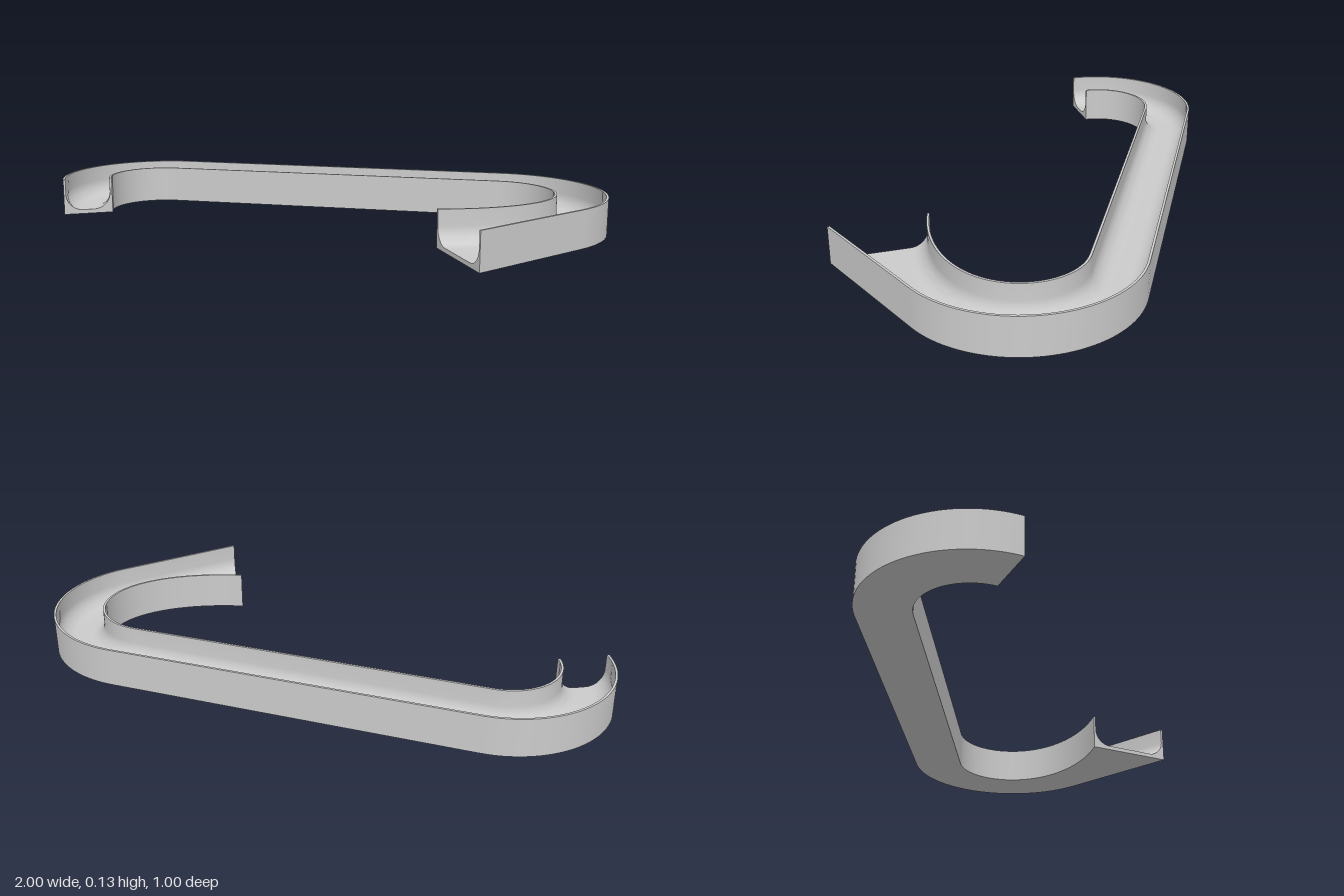
import * as THREE from 'three';
import { toCreasedNormals } from 'three/addons/utils/BufferGeometryUtils.js';

const HEIGHT = 0.13, WALL = 0.008, FLOOR = 0.015, FILLET = 0.06;
const rad = THREE.MathUtils.degToRad;
const v2 = (x, z) => new THREE.Vector2(x, z);

// U-shaped channel section of width w: flat bottom, thin walls, rounded inner corners
function section(w) {
  const pts = [v2(0, 0), v2(w, 0), v2(w, HEIGHT)];
  const n = 10;
  pts.push(v2(w - WALL, HEIGHT));
  for (let i = 0; i <= n; i++) {
    const a = (i / n) * Math.PI / 2;
    pts.push(v2(w - WALL - FILLET + FILLET * Math.cos(a), FLOOR + FILLET - FILLET * Math.sin(a)));
  }
  for (let i = 0; i <= n; i++) {
    const a = (i / n) * Math.PI / 2;
    pts.push(v2(WALL + FILLET - FILLET * Math.sin(a), FLOOR + FILLET - FILLET * Math.cos(a)));
  }
  pts.push(v2(WALL, HEIGHT), v2(0, HEIGHT));
  return pts;
}

// Pairs of outer and inner edge points, in plan (x, z), along the channel
function stations() {
  const list = [];
  const bend = (cx, cz, rOut, rIn, from, to, steps) => {
    for (let i = 0; i <= steps; i++) {
      const a = rad(from + (to - from) * i / steps);
      const p = r => v2(cx + r * Math.cos(a), cz + r * Math.sin(a));
      list.push([p(rOut), p(rIn)]);
    }
  };
  bend(-0.645, -0.105, 0.355, 0.178, 149, 268, 40); // small hook
  bend(0.61, -0.115, 0.39, 0.21, 268, 360, 32);     // large bend

  // flared mouth: arc running into a straight outer wall, curved inner wall
  const outer = new THREE.CurvePath();
  const turn = rad(36.5);
  outer.add(new THREE.EllipseCurve(0.61, -0.115, 0.39, 0.39, 0, turn));
  outer.add(new THREE.LineCurve(
    v2(0.61 + 0.39 * Math.cos(turn), -0.115 + 0.39 * Math.sin(turn)), v2(0.635, 0.5)));
  const inner = new THREE.CubicBezierCurve(
    v2(0.82, -0.115), v2(0.82, 0.04), v2(0.66, 0.17), v2(0.465, 0.225));
  const steps = 40;
  for (let i = 1; i <= steps; i++) list.push([outer.getPoint(i / steps), inner.getPointAt(i / steps)]);
  return list;
}

// Loft the section through all stations and close both ends
function channelGeometry() {
  const pos = [], index = [];
  const rows = stations();
  const profiles = rows.map(([o, i]) => section(o.distanceTo(i)));
  const n = profiles[0].length;
  rows.forEach(([o, inn], k) => {
    const d = inn.clone().sub(o).normalize();
    for (const p of profiles[k]) pos.push(o.x + d.x * p.x, p.y, o.y + d.y * p.x);
  });
  for (let k = 0; k < rows.length - 1; k++) {
    for (let j = 0; j < n; j++) {
      const a = k * n + j, b = k * n + (j + 1) % n;
      index.push(a, a + n, b + n, a, b + n, b);
    }
  }
  const last = (rows.length - 1) * n;
  for (const [a, b, c] of THREE.ShapeUtils.triangulateShape(profiles[0], [])) index.push(a, b, c);
  for (const [a, b, c] of THREE.ShapeUtils.triangulateShape(profiles[rows.length - 1], [])) {
    index.push(last + a, last + c, last + b);
  }
  const geo = new THREE.BufferGeometry();
  geo.setAttribute('position', new THREE.Float32BufferAttribute(pos, 3));
  geo.setIndex(index);
  return toCreasedNormals(geo, 0.6);
}

export function createModel() {
  const group = new THREE.Group();
  const channel = new THREE.Mesh(channelGeometry(),
    new THREE.MeshStandardMaterial({ color: 0xcccccc, side: THREE.DoubleSide }));
  channel.name = 'curvedChannel';
  group.add(channel);
  return group;
}
